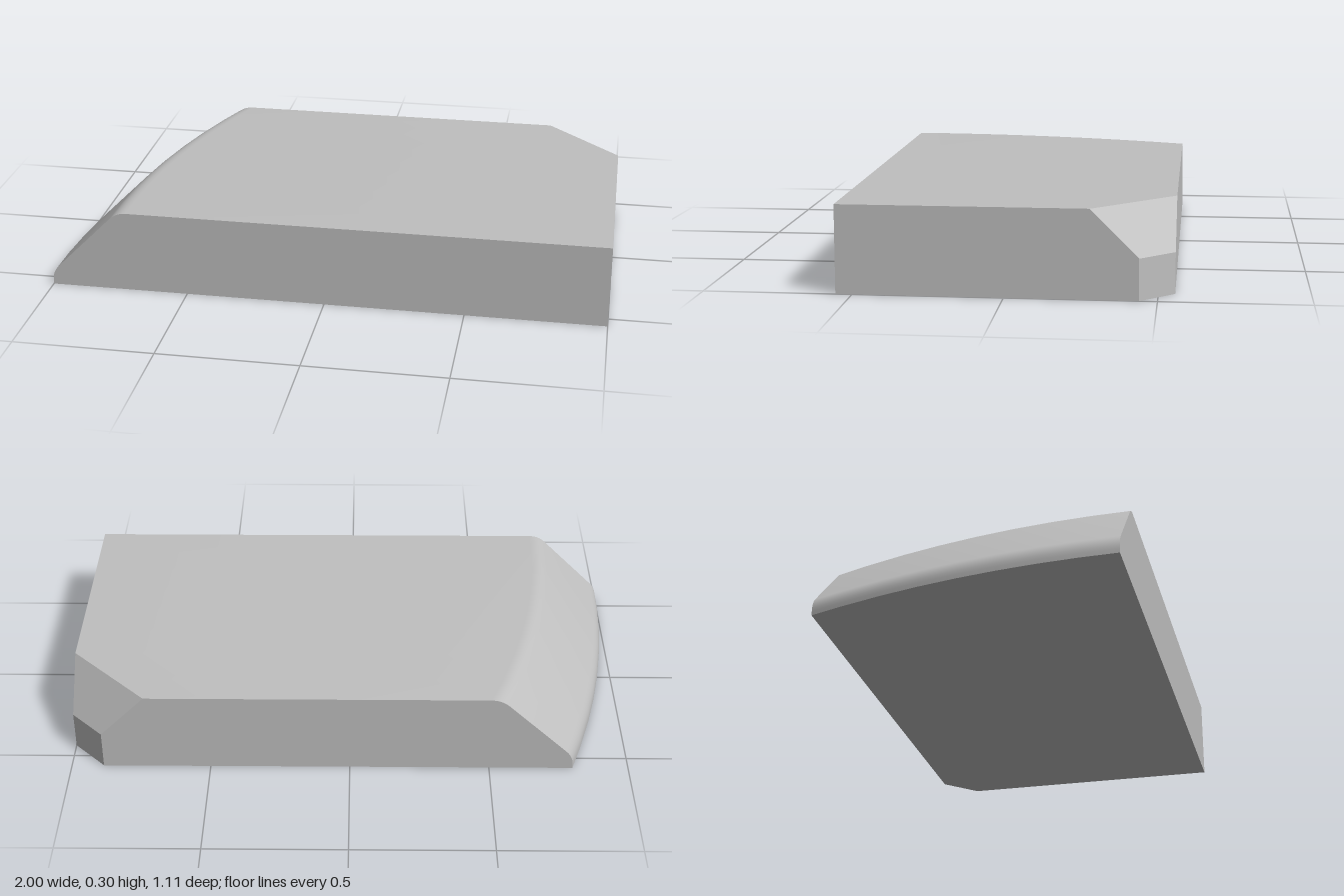
import * as THREE from 'three';
import { toCreasedNormals } from 'three/addons/utils/BufferGeometryUtils.js';

const HEIGHT = 0.3, HALF_DEPTH = 0.555;

// Bevelled side profile: a short wall, a 45 degree slope and rounded transitions
function bevelProfile() {
  const v = (x, y) => new THREE.Vector2(x, y);
  const lower = new THREE.QuadraticBezierCurve(v(0, 0.015), v(0, 0.05), v(0.025, 0.075));
  const upper = new THREE.QuadraticBezierCurve(v(0.225, 0.275), v(0.25, HEIGHT), v(0.285, HEIGHT));
  return [v(0, 0), ...lower.getPoints(5), ...upper.getPoints(5)];
}

// Closed cross-section at depth z, clockwise when seen from the front
function section(z, profile) {
  const t = (HALF_DEPTH - z) / (2 * HALF_DEPTH);
  const edge = -1 + 0.2 * t * t;                       // swept, curved side
  const stretch = Math.hypot(1, 0.4 * t / (2 * HALF_DEPTH)); // keeps bevel width even
  const ring = profile.map(p => new THREE.Vector3(edge + p.x * stretch, p.y, z));
  // Straight side, with the clipped rear corner
  const back = z + HALF_DEPTH;
  const cut = Math.min(1, 0.885 + back);
  const cutTop = Math.min(HEIGHT, 0.14 + Math.max(0, back - 0.115));
  ring.push(new THREE.Vector3(Math.min(1, 0.725 + back), HEIGHT, z));
  ring.push(new THREE.Vector3(cut, cutTop, z), new THREE.Vector3(cut, 0, z));
  return ring;
}

function blockGeometry() {
  const profile = bevelProfile();
  const depths = [-HALF_DEPTH, -0.44, -0.28, -0.14, 0, 0.14, 0.28, 0.42, HALF_DEPTH];
  const rings = depths.map(z => section(z, profile));
  const count = rings[0].length, positions = [];
  const face = (a, b, c) => {
    if (new THREE.Triangle(a, b, c).getArea() < 1e-8) return;
    for (const p of [a, b, c]) positions.push(p.x, p.y, p.z);
  };
  // Skin between neighbouring cross-sections
  for (let i = 0; i < rings.length - 1; i++) {
    for (let k = 0; k < count; k++) {
      const n = (k + 1) % count, r = rings[i], s = rings[i + 1];
      face(r[k], s[k], r[n]);
      face(r[n], s[k], s[n]);
    }
  }
  // Flat rear and front ends
  const rear = rings[0], front = rings[rings.length - 1];
  for (let k = 1; k < count - 1; k++) {
    face(rear[0], rear[k], rear[k + 1]);
    face(front[0], front[k + 1], front[k]);
  }
  const geometry = new THREE.BufferGeometry();
  geometry.setAttribute('position', new THREE.Float32BufferAttribute(positions, 3));
  return toCreasedNormals(geometry, 0.5);
}

export function createModel() {
  const group = new THREE.Group();
  group.name = 'bevelledBlock';
  const grey = new THREE.MeshStandardMaterial({ color: 0xbfbfbf });
  grey.name = 'plain grey';
  const block = new THREE.Mesh(blockGeometry(), grey);
  block.name = 'block';
  group.add(block);
  return group;
}
